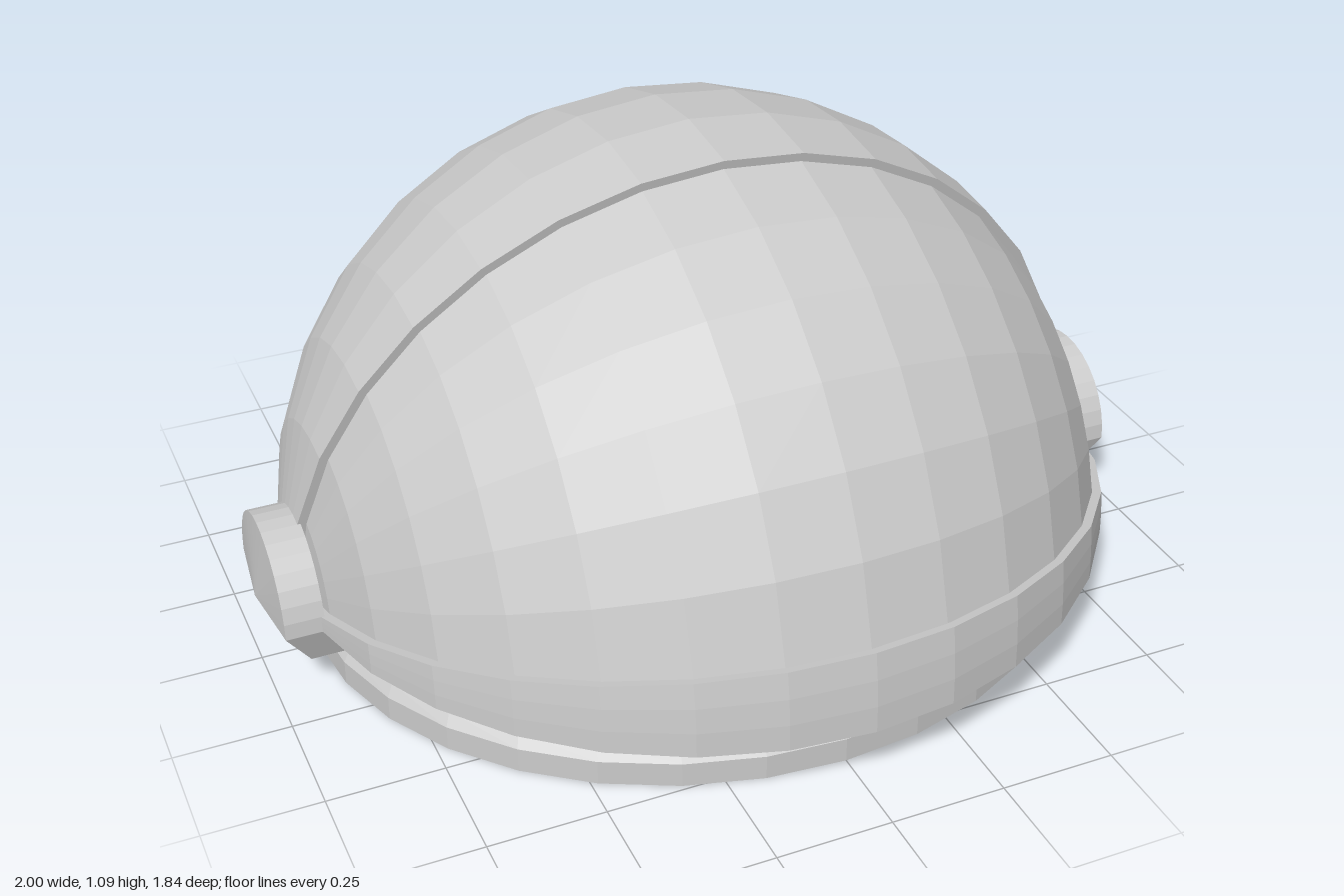
import * as THREE from 'three';

const STEP = Math.PI / 16; // angular size of one facet
const CY = 0.165; // height of the dome's centre
const R_OUT = 0.92;
const R_VISOR = 0.9;

const material = new THREE.MeshStandardMaterial({
  color: 0xcccccc, flatShading: true, side: THREE.DoubleSide,
});

function add(parent, name, geometry, y = 0) {
  const mesh = new THREE.Mesh(geometry, material);
  mesh.name = name;
  mesh.position.y = y;
  parent.add(mesh);
  return mesh;
}

// Slice of a sphere with its poles on x; steps run from straight up (0) towards the front (8)
function slice(r, from, to) {
  return new THREE.SphereGeometry(r, to - from, 16, from * STEP, (to - from) * STEP)
    .rotateZ(-Math.PI / 2);
}

// Thin arc wall that closes the step between two slices
function stepWall(at) {
  return new THREE.RingGeometry(R_VISOR, R_OUT, 16, 1, 0, Math.PI).rotateX(at * STEP);
}

// Skin between loops of points that all have the same length
function skin(loops) {
  const n = loops[0].length;
  const index = [];
  for (let j = 0; j < loops.length - 1; j++) {
    for (let i = 0; i < n; i++) {
      const a = j * n + i, b = j * n + (i + 1) % n;
      index.push(a, b, a + n, b, b + n, a + n);
    }
  }
  const g = new THREE.BufferGeometry();
  g.setAttribute('position', new THREE.Float32BufferAttribute(loops.flat(2), 3));
  g.setIndex(index);
  g.computeVertexNormals();
  return g;
}

// Horizontal ellipse with 32 sides
function ellipse(rx, rz, y) {
  return Array.from({ length: 32 }, (_, i) =>
    [rx * Math.sin(i * STEP), y, rz * Math.cos(i * STEP)]);
}

// Outline of a hinge cover: half round above, tapered and tucked in below
function hingeLoop(xTop, xBottom, xBottomMiddle) {
  const loop = [];
  for (let i = 0; i <= 16; i++) {
    const a = i * STEP;
    loop.push([xTop, CY + 0.18 * Math.sin(a), -0.18 * Math.cos(a)]);
  }
  loop.push([xBottom, 0.08, 0.15], [xBottomMiddle, 0.08, 0], [xBottom, 0.08, -0.15]);
  return loop;
}

export function createModel() {
  const model = new THREE.Group();
  model.name = 'domeHelmet';

  // Dome: raised back shell, recessed visor, raised brow band along the front
  add(model, 'backShell', slice(R_OUT, -8, 1), CY);
  add(model, 'visor', slice(R_VISOR, 1, 7), CY);
  add(model, 'frontBand', slice(R_OUT, 7, 8), CY);
  add(model, 'shellEdge', stepWall(1), CY);
  add(model, 'bandEdge', stepWall(7), CY);

  // Sloping skirt under the dome and the open neck ring
  add(model, 'skirt', skin([ellipse(0.86, 0.77, 0.08), ellipse(R_OUT, R_OUT, CY)]));
  add(model, 'neckRing', skin([
    ellipse(0.875, 0.8, 0), ellipse(0.875, 0.8, 0.055), ellipse(0.86, 0.77, 0.08),
  ]));

  // Hinge covers, one on each side
  const outer = hingeLoop(0.98, 0.925, 0.94);
  const geometry = skin([
    hingeLoop(0.895, 0.85, 0.86),
    outer,
    outer.map(() => [1, CY, 0]), // slightly peaked face
  ]);
  for (const side of [1, -1]) {
    add(model, side > 0 ? 'leftHingeCover' : 'rightHingeCover', geometry).scale.x = side;
  }
  return model;
}
